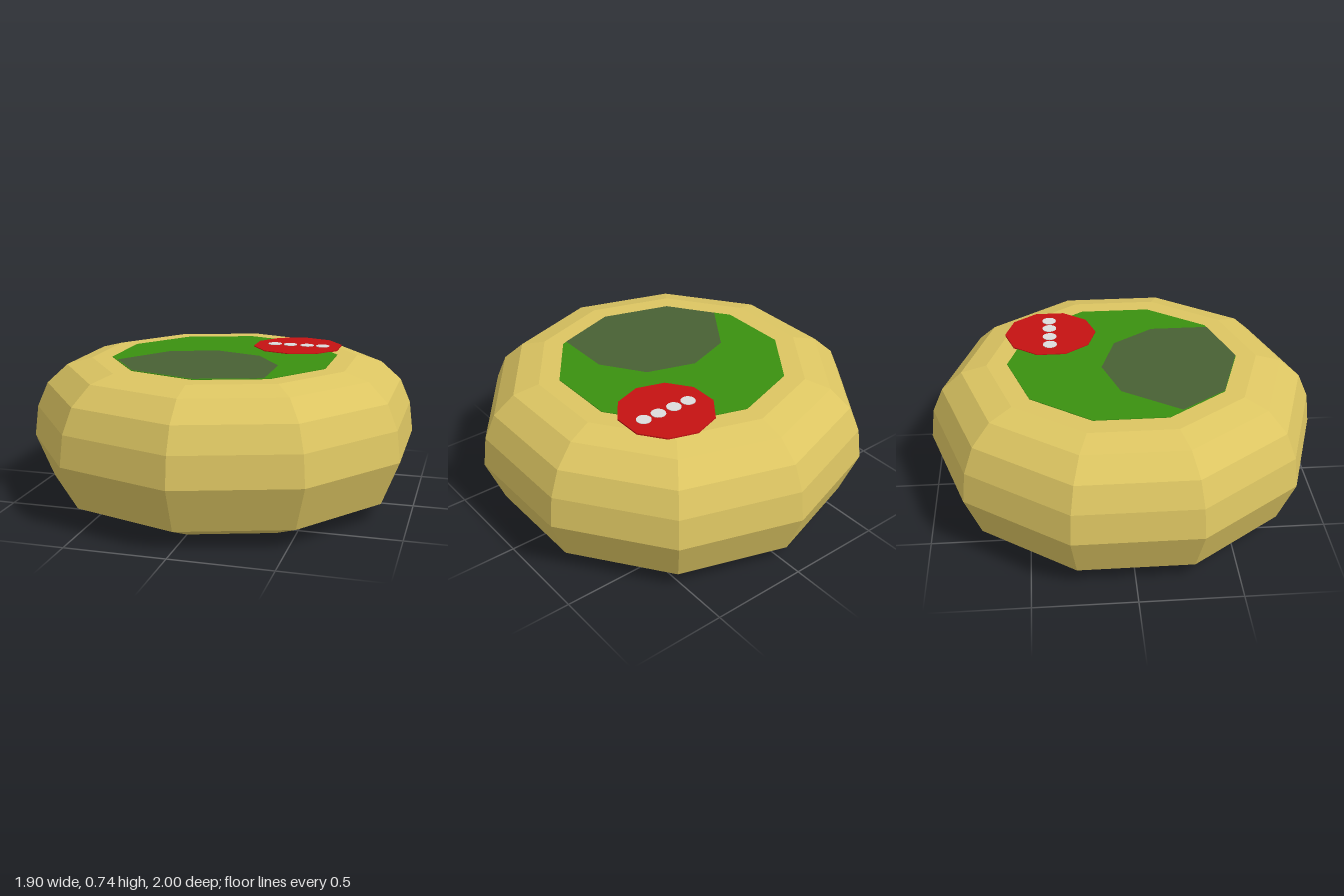
import * as THREE from 'three';

const SIDES = 10;
const TOP = 0.73;

function makeMaterial(name, color) {
  const m = new THREE.MeshStandardMaterial({ color, flatShading: true });
  m.name = name;
  return m;
}

export function createModel() {
  const group = new THREE.Group();
  group.name = 'roundPuck';

  const gold = makeMaterial('gold', 0xdcc562);
  const green = makeMaterial('green', 0x3a9010);
  const darkGreen = makeMaterial('darkGreen', 0x486034);
  const red = makeMaterial('red', 0xc41212);
  const paleGrey = makeMaterial('paleGrey', 0xdcdcdc);

  const add = (name, geometry, material, x = 0, y = 0, z = 0) => {
    const mesh = new THREE.Mesh(geometry, material);
    mesh.name = name;
    mesh.position.set(x, y, z);
    group.add(mesh);
  };

  // Thin plate whose underside rests at the given height
  const addDisc = (name, radius, sides, height, material, x, y, z) =>
    add(name, new THREE.CylinderGeometry(radius, radius, height, sides), material, x, y + height / 2, z);

  // Ten-sided rounded body
  const profile = [
    [0, 0], [0.69, 0], [0.91, 0.095], [1, 0.32], [0.98, 0.475],
    [0.925, 0.6], [0.82, 0.695], [0.69, TOP], [0, TOP],
  ].map(([r, y]) => new THREE.Vector2(r, y));
  add('body', new THREE.LatheGeometry(profile, SIDES), gold);

  // Round field inlaid in the top
  addDisc('topField', 0.585, SIDES, 0.003, green, 0, TOP, 0);

  // Darker patch, trimmed to the edge of the field
  const patch = new THREE.Shape([
    [-0.07, -0.11], [-0.31, -0.03], [-0.5, 0.25], [-0.343, 0.473],
    [0, 0.583], [0.32, 0.481], [0.32, 0.18], [0.175, -0.03],
  ].map(([x, z]) => new THREE.Vector2(x, -z)));
  add('darkPatch', new THREE.ShapeGeometry(patch).rotateX(-Math.PI / 2), darkGreen, 0, TOP + 0.005, 0);

  // Badge overlapping the field, with a row of dots
  addDisc('badge', 0.24, SIDES, 0.007, red, 0.31, TOP, -0.36);
  [0.182, 0.268, 0.36, 0.446].forEach((x, i) =>
    addDisc(`badgeDot${i + 1}`, 0.037, 16, 0.003, paleGrey, x, TOP + 0.007, -0.365));

  return group;
}
